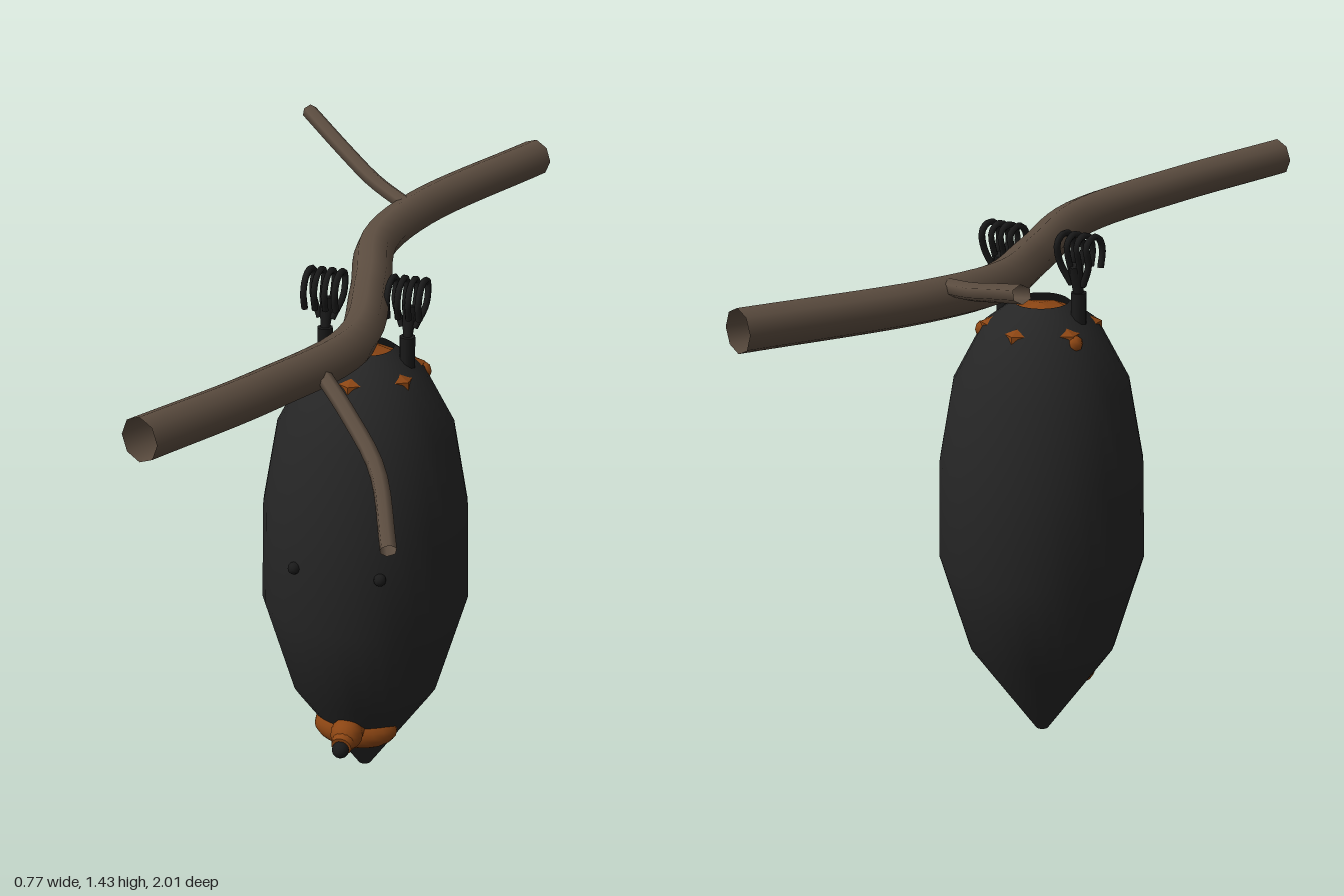
import * as THREE from 'three';

const V = (x, y, z) => new THREE.Vector3(x, y, z);
const mat = (color, extra = {}) => new THREE.MeshStandardMaterial({ color, ...extra });

export function createModel() {
  const model = new THREE.Group();
  const bark = mat(0x5c4d40, { side: THREE.DoubleSide });
  const wingSkin = mat(0x262626, { side: THREE.DoubleSide });
  const dark = mat(0x1a1a1a);
  const fur = mat(0x8b4513);
  const furFlat = mat(0x8b4513, { flatShading: true, side: THREE.DoubleSide });

  const add = (parent, name, geometry, material, x = 0, y = 0, z = 0) => {
    const mesh = new THREE.Mesh(geometry, material);
    mesh.name = name;
    mesh.position.set(x, y, z);
    parent.add(mesh);
    return mesh;
  };
  const tube = (points, radius, segments, sides) =>
    new THREE.TubeGeometry(new THREE.CatmullRomCurve3(points), segments, radius, sides);
  const lathe = (profile, segments) =>
    new THREE.LatheGeometry(profile.map(([r, y]) => new THREE.Vector2(r, y)), segments);

  // Branch with two twigs
  add(model, 'branch', tube([
    V(-0.125, 1.262, 0.985), V(0.01, 1.247, 0.64), V(0.1, 1.235, 0.3), V(0.035, 1.237, -0.05),
    V(-0.028, 1.255, -0.32), V(0.01, 1.272, -0.56), V(0.2, 1.297, -0.985),
  ], 0.048, 40, 8), bark);
  add(model, 'frontTwig', tube(
    [V(0.08, 1.24, 0.47), V(0.19, 1.195, 0.6), V(0.29, 1.14, 0.73), V(0.365, 1.05, 0.9)], 0.018, 12, 6), bark);
  add(model, 'backTwig', tube(
    [V(0, 1.29, -0.5), V(-0.12, 1.32, -0.59), V(-0.22, 1.357, -0.68), V(-0.37, 1.415, -0.825)], 0.02, 12, 6), bark);

  // Hanging animal, head down
  const bat = new THREE.Group();
  bat.name = 'hangingBat';
  bat.position.x = 0.04;
  model.add(bat);

  // Folded wings form a closed cocoon around a six-sided body
  add(bat, 'foldedWings', lathe([
    [0, 0], [0.016, 0], [0.18, 0.235], [0.25, 0.475], [0.245, 0.72], [0.21, 0.92], [0.137, 1.06], [0.065, 1.115],
  ], 32), wingSkin);
  add(bat, 'body', lathe([
    [0, 0.3], [0.12, 0.5], [0.15, 0.85], [0.143, 1.065], [0.06, 1.1], [0, 1.11],
  ], 6), furFlat);

  // Head, muzzle and nose
  add(bat, 'head', new THREE.SphereGeometry(1, 20, 14), fur, 0, 0.143, 0.075).scale.set(0.105, 0.052, 0.065);
  const muzzle = add(bat, 'muzzle', new THREE.CylinderGeometry(0.025, 0.046, 0.1, 14), fur, 0, 0.158, 0.145);
  muzzle.rotation.x = Math.PI / 2 + 0.2;
  add(bat, 'muzzleTop', new THREE.SphereGeometry(0.04, 14, 10), fur, 0, 0.16, 0.15);
  add(bat, 'nose', new THREE.SphereGeometry(0.021, 12, 8), dark, 0, 0.143, 0.2);

  for (const side of [-1, 1]) {
    // Wing thumbs and haunches
    add(bat, 'thumb', new THREE.SphereGeometry(0.015, 10, 8), dark, side * 0.105, 0.63, 0.227);
    add(bat, 'haunch', new THREE.SphereGeometry(0.02, 8, 6), fur, side * 0.122, 1.045, -0.062);

    // Leg with clawed foot gripping over the branch
    const leg = new THREE.Group();
    leg.name = 'leg';
    leg.position.x = side * 0.1;
    bat.add(leg);
    add(leg, 'shin', new THREE.CylinderGeometry(0.019, 0.019, 0.1, 8), dark, 0, 1.1, 0);
    const foot = add(leg, 'foot', new THREE.CylinderGeometry(0.018, 0.01, 0.09, 6), dark, 0, 1.175, -0.008);
    foot.rotation.x = -0.2;
    for (let i = 0; i < 4; i++) {
      const x = (i - 1.5) * 0.025;
      add(leg, 'toe', tube([
        V(x * 0.4, 1.17, -0.008), V(x, 1.225, -0.024), V(x, 1.272, -0.036), V(x, 1.287, -0.01),
        V(x, 1.277, 0.028), V(x, 1.245, 0.045), V(x, 1.205, 0.036),
      ], 0.008, 20, 6), dark);
    }
  }
  return model;
}
